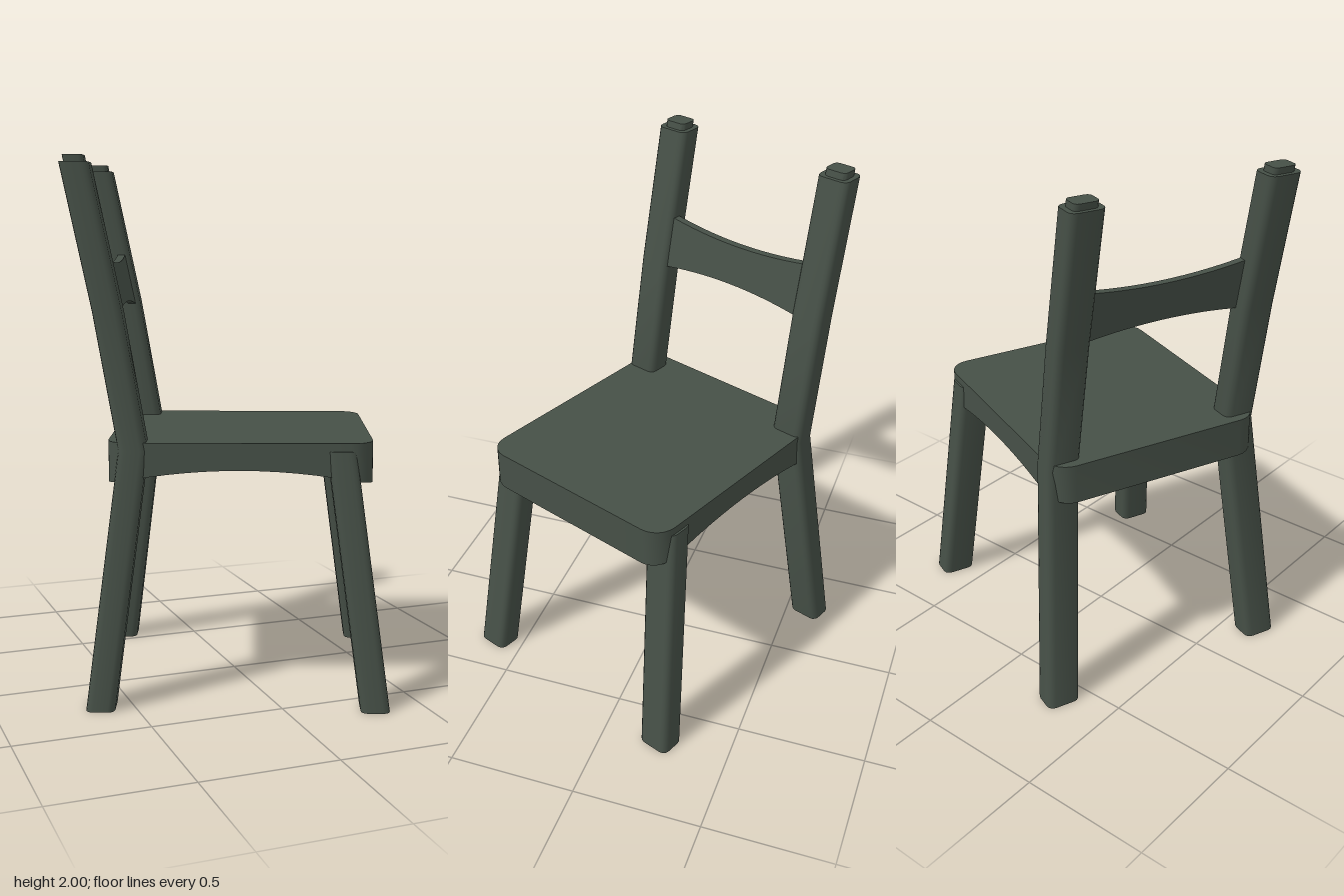
import * as THREE from 'three';
import { toCreasedNormals } from 'three/addons/utils/BufferGeometryUtils.js';

const material = new THREE.MeshStandardMaterial({ color: 0x465047 });

// Skin a list of equal-length point rings, with both ends closed.
function loft(rings) {
  const n = rings[0].length, last = (rings.length - 1) * n;
  const index = [];
  for (let k = 0; k < rings.length - 1; k++) {
    for (let i = 0; i < n; i++) {
      const j = (i + 1) % n, a = k * n + i, b = k * n + j;
      index.push(a, b, b + n, a, b + n, a + n);
    }
  }
  for (let i = 1; i < n - 1; i++) {
    index.push(0, i + 1, i, last, last + i, last + i + 1);
  }
  const geometry = new THREE.BufferGeometry();
  geometry.setAttribute('position', new THREE.Float32BufferAttribute(rings.flat(2), 3));
  geometry.setIndex(index);
  return toCreasedNormals(geometry, 0.7);
}

// Horizontal rounded rectangle, counter-clockwise from above.
function post(x, y, z, scale = 1) {
  const w = 0.065, d = 0.053, r = 0.026, ring = [];
  for (let c = 0; c < 4; c++) {
    const sx = c === 0 || c === 3 ? 1 : -1, sz = c < 2 ? -1 : 1;
    for (let s = 0; s <= 3; s++) {
      const t = (c + s / 3) * Math.PI / 2;
      ring.push([
        x + scale * (sx * (w - r) + r * Math.cos(t)), y,
        z + scale * (sz * (d - r) - r * Math.sin(t)),
      ]);
    }
  }
  return ring;
}

// Seat slab: rounded plan corners and an arched underside.
function seatGeometry() {
  const half = 0.433, back = -0.455, front = 0.512, r = 0.085, top = 0.98;
  const middle = (back + front) / 2, reach = (front - back) / 2;
  const slice = (z, w) => {
    const bottom = 0.828 + 0.052 * (1 - ((z - middle) / reach) ** 2);
    return [[-w, bottom, z], [w, bottom, z], [w, top, z], [-w, top, z]];
  };
  const rings = [];
  for (let i = 0; i <= 6; i++) {
    const t = i / 6 * Math.PI / 2;
    rings.push(slice(back + r - r * Math.cos(t), half - r + r * Math.sin(t)));
  }
  for (let i = 1; i < 12; i++) {
    rings.push(slice(back + r + (front - back - 2 * r) * i / 12, half));
  }
  for (let i = 0; i <= 6; i++) {
    const t = i / 6 * Math.PI / 2;
    rings.push(slice(front - r + r * Math.sin(t), half - r + r * Math.cos(t)));
  }
  return loft(rings);
}

// Back rail: waisted board, sheared to lean with the posts.
function railGeometry() {
  const w = 0.35, thick = 0.03;
  const shape = new THREE.Shape();
  shape.moveTo(-w, 1.435);
  shape.quadraticCurveTo(0, 1.495, w, 1.435);
  shape.lineTo(w, 1.645);
  shape.quadraticCurveTo(0, 1.585, -w, 1.645);
  const geometry = new THREE.ExtrudeGeometry(shape, { depth: thick, bevelEnabled: false, curveSegments: 16 });
  const p = geometry.attributes.position;
  for (let i = 0; i < p.count; i++) {
    p.setZ(i, p.getZ(i) - 0.44 - 0.208 * (p.getY(i) - 1.44));
  }
  return toCreasedNormals(geometry, 0.5);
}

export function createModel() {
  const model = new THREE.Group();
  model.name = 'chair';
  const add = (name, geometry) => {
    const mesh = new THREE.Mesh(geometry, material);
    mesh.name = name;
    model.add(mesh);
  };

  add('seat', seatGeometry());
  add('backRail', railGeometry());

  for (const [side, s] of [['left', 1], ['right', -1]]) {
    // Splayed front leg
    add(side + 'FrontLeg', loft([
      post(s * 0.448, 0, 0.522),
      post(s * 0.376, 0.95, 0.395),
    ]));
    // Back leg running up into the leaning post, with a small stepped cap
    add(side + 'BackLegAndPost', loft([
      post(s * 0.45, 0, -0.481),
      post(s * 0.375, 0.95, -0.36),
      post(s * 0.375, 1.45, -0.447),
      post(s * 0.375, 1.975, -0.557),
      post(s * 0.375, 1.975, -0.557, 0.7),
      post(s * 0.375, 2, -0.562, 0.7),
    ]));
  }

  // The whole chair is turned to one side
  model.rotation.y = THREE.MathUtils.degToRad(68.5);
  const group = new THREE.Group();
  group.add(model);
  return group;
}
